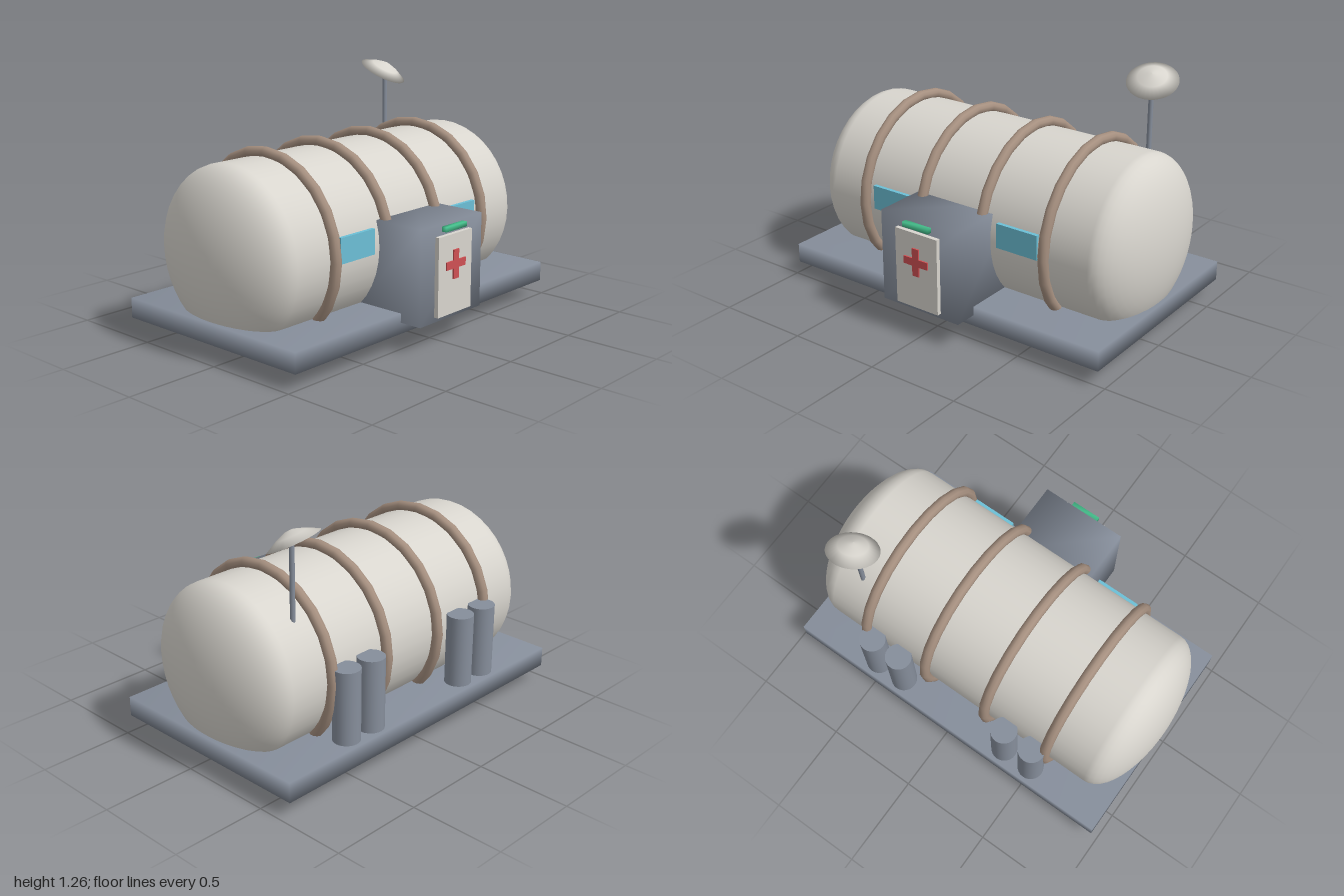
import * as THREE from 'three';
import { mergeVertices } from 'three/addons/utils/BufferGeometryUtils.js';

const mat = (name, color, side = THREE.FrontSide) => {
  const m = new THREE.MeshStandardMaterial({ color, side });
  m.name = name;
  return m;
};

export function createModel() {
  const model = new THREE.Group();
  model.name = 'habitatModule';

  const shell = mat('shellOffWhite', 0xd8d5ce);
  const grey = mat('slateGrey', 0x868e9b);
  const tan = mat('ribTan', 0xa58f7f);
  const blue = mat('windowBlue', 0x6cbfd6);
  const red = mat('crossRed', 0xcf5053);
  const green = mat('lampGreen', 0x45bf8c);

  const add = (name, geometry, material, x, y, z, parent = model) => {
    const mesh = new THREE.Mesh(geometry, material);
    mesh.name = name;
    mesh.position.set(x, y, z);
    parent.add(mesh);
    return mesh;
  };

  // Box given by its limits; soft boxes share normals across their edges
  const box = (name, material, [x0, x1], [y0, y1], [z0, z1], soft = false, parent = model) => {
    let g = new THREE.BoxGeometry(x1 - x0, y1 - y0, z1 - z0);
    if (soft) {
      g.deleteAttribute('normal');
      g.deleteAttribute('uv');
      g = mergeVertices(g);
      g.computeVertexNormals();
    }
    return add(name, g, material, (x0 + x1) / 2, (y0 + y1) / 2, (z0 + z1) / 2, parent);
  };

  const axisY = 0.5, axisZ = -0.077, radius = 0.447;

  // Base slab
  box('basePlatform', grey, [-0.965, 0.965], [0.09, 0.195], [-0.66, 0.51], true);

  // Pressure hull with shallow domed ends
  const tube = new THREE.CylinderGeometry(radius, radius, 1.6, 40, 1, true).rotateZ(Math.PI / 2);
  add('hull', tube, shell, 0, axisY, axisZ);
  for (const s of [-1, 1]) {
    const dome = new THREE.SphereGeometry(1, 40, 12, 0, Math.PI * 2, 0, Math.PI / 2)
      .scale(radius, 0.2, radius)
      .rotateZ(-s * Math.PI / 2);
    add(s > 0 ? 'leftEndDome' : 'rightEndDome', dome, shell, s * 0.8, axisY, axisZ);
  }

  // Hoops around the hull
  const hoop = new THREE.TorusGeometry(0.467, 0.028, 10, 24).rotateY(Math.PI / 2);
  for (const x of [-0.567, -0.19, 0.188, 0.565]) add('hullRib', hoop, tan, x, axisY, axisZ);

  // Airlock with door, cross and lamp
  const airlock = new THREE.Group();
  airlock.name = 'airlock';
  model.add(airlock);
  box('airlockBody', grey, [-0.237, 0.237], [0.148, 0.637], [0.2, 0.632], true, airlock);
  box('door', shell, [-0.13, 0.13], [0.175, 0.58], [0.63, 0.655], false, airlock);
  box('crossBar', red, [-0.074, 0.074], [0.406, 0.446], [0.655, 0.663], false, airlock);
  for (const [y0, y1] of [[0.352, 0.406], [0.446, 0.5]])
    box('crossArm', red, [-0.02, 0.02], [y0, y1], [0.655, 0.663], false, airlock);
  box('doorLamp', green, [-0.08, 0.08], [0.599, 0.624], [0.63, 0.66], true, airlock);

  // Windows either side of the airlock
  for (const s of [-1, 1]) {
    const pane = box('window', blue, [-0.12, 0.12], [0.477, 0.607], [0.345, 0.376]);
    pane.position.x = s * 0.398;
  }

  // Storage tanks at the back
  const tank = new THREE.CylinderGeometry(0.07, 0.07, 0.39, 24);
  for (const x of [-0.508, -0.337, 0.333, 0.502]) add('tank', tank, grey, x, 0.383, -0.571);

  // Mast and tilted antenna dish
  add('antennaMast', new THREE.CylinderGeometry(0.013, 0.013, 0.46, 12), grey, 0.67, 0.985, -0.388);
  const profile = [[0, 0.034], [0.07, 0.018], [0.133, 0], [0.075, 0.031], [0.025, 0.05], [0, 0.053]]
    .map(([r, y]) => new THREE.Vector2(r, y));
  const dish = add('antennaDish', new THREE.LatheGeometry(profile, 32), shell, 0.667, 1.207, -0.4);
  dish.quaternion.setFromUnitVectors(
    new THREE.Vector3(0, 1, 0),
    new THREE.Vector3(0.15, 0.89, 0.43).normalize()
  );

  return model;
}
